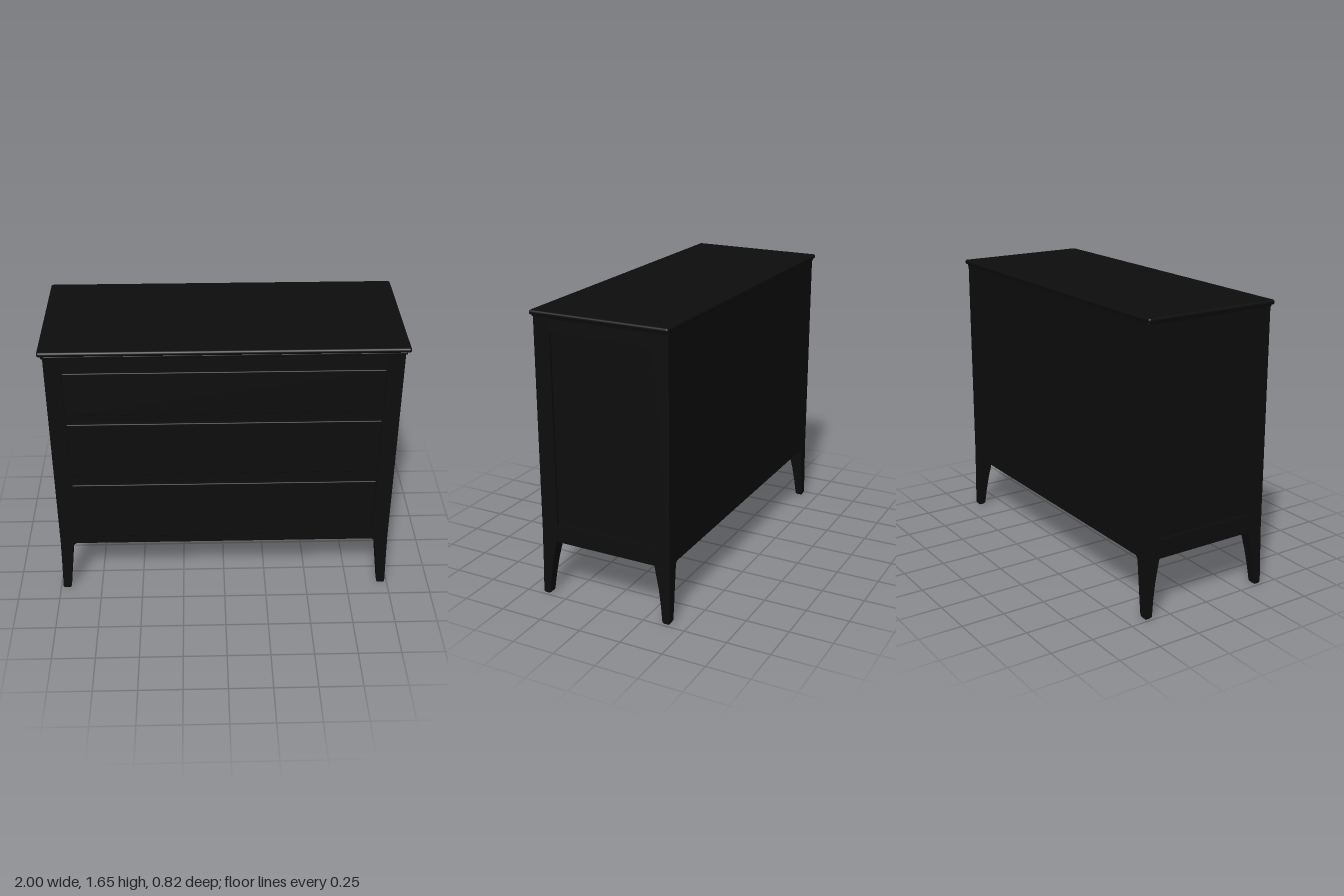
import * as THREE from 'three';
import { RoundedBoxGeometry } from 'three/addons/geometries/RoundedBoxGeometry.js';

const black = new THREE.MeshStandardMaterial({ color: 0x0d0d0d });
black.name = 'black paint';

function add(group, name, geometry, x = 0, y = 0, z = 0) {
  const mesh = new THREE.Mesh(geometry, black);
  mesh.name = name;
  mesh.position.set(x, y, z);
  group.add(mesh);
  return mesh;
}

// Box given by its limits; a radius rounds its edges
function block(group, name, [x0, x1], [y0, y1], [z0, z1], radius = 0) {
  const size = [x1 - x0, y1 - y0, z1 - z0];
  const geometry = radius
    ? new RoundedBoxGeometry(...size, 3, radius)
    : new THREE.BoxGeometry(...size);
  return add(group, name, geometry, (x0 + x1) / 2, (y0 + y1) / 2, (z0 + z1) / 2);
}

// Corner post sections: y, inner x, outer x, inner z, outer z
const POST = [
  [0, 0.945, 0.98, 0.368, 0.397],
  [0.01, 0.937, 0.985, 0.36, 0.402],
  [0.1, 0.927, 0.982, 0.351, 0.402],
  [0.2, 0.916, 0.979, 0.337, 0.401],
  [0.31, 0.905, 0.976, 0.314, 0.401],
  [0.335, 0.899, 0.975, 0.308, 0.4],
  [0.35, 0.88, 0.975, 0.302, 0.4],
  [1.63, 0.88, 0.97, 0.302, 0.4],
];

// Loft of rectangles, mirrored to the corner given by the signs
function postGeometry(sx, sz) {
  const rings = POST.map(([y, xi, xo, zi, zo]) =>
    [[xi, zi], [xi, zo], [xo, zo], [xo, zi]].map(([x, z]) => [x * sx, y, z * sz]));
  const positions = [];
  const quad = (a, b, c, d) => {
    const order = sx * sz > 0 ? [a, b, c, a, c, d] : [a, c, b, a, d, c];
    order.forEach((p) => positions.push(...p));
  };
  for (let i = 0; i < rings.length - 1; i++) {
    for (let j = 0; j < 4; j++) {
      const k = (j + 1) % 4;
      quad(rings[i][j], rings[i][k], rings[i + 1][k], rings[i + 1][j]);
    }
  }
  const foot = rings[0], head = rings[rings.length - 1];
  quad(foot[3], foot[2], foot[1], foot[0]);
  quad(head[0], head[1], head[2], head[3]);
  const geometry = new THREE.BufferGeometry();
  geometry.setAttribute('position', new THREE.Float32BufferAttribute(positions, 3));
  geometry.computeVertexNormals();
  return geometry;
}

export function createModel() {
  const dresser = new THREE.Group();
  dresser.name = 'dresser';

  // Top board with a thin moulding beneath it
  block(dresser, 'topBoard', [-1, 1], [1.628, 1.655], [-0.412, 0.408], 0.012);
  block(dresser, 'topMoulding', [-0.98, 0.98], [1.615, 1.632], [-0.403, 0.403], 0.006);

  // Carcass, flush back and bottom board
  block(dresser, 'carcass', [-0.958, 0.958], [0.35, 1.625], [-0.39, 0.39]);
  block(dresser, 'backPanel', [-0.9, 0.9], [0.345, 1.625], [-0.4, -0.385]);

  // Four corner posts tapering into legs
  for (const sx of [-1, 1]) {
    for (const sz of [-1, 1]) {
      add(dresser, (sz > 0 ? 'front' : 'back') + (sx > 0 ? 'Left' : 'Right') + 'Post', postGeometry(sx, sz));
    }
  }

  // Side rails framing the recessed side panels
  for (const sx of [-1, 1]) {
    const side = sx > 0 ? 'left' : 'right';
    const across = sx > 0 ? [0.93, 0.97] : [-0.97, -0.93];
    block(dresser, side + 'BottomRail', across, [0.33, 0.44], [-0.31, 0.31]);
    block(dresser, side + 'TopRail', across, [1.54, 1.625], [-0.31, 0.31]);
  }

  // Front rails between the drawers
  const rails = [[0.35, 0.402], [0.79, 0.85], [1.208, 1.254], [1.536, 1.625]];
  rails.forEach((y, i) => block(dresser, 'frontRail' + (i + 1), [-0.89, 0.89], y, [0.37, 0.4]));

  // Drawer fronts standing slightly proud
  const drawers = [[0.407, 0.785], [0.857, 1.202], [1.26, 1.53]];
  drawers.forEach((y, i) =>
    block(dresser, 'drawerFront' + (i + 1), [-0.874, 0.874], y, [0.37, 0.413], 0.005));

  return dresser;
}
